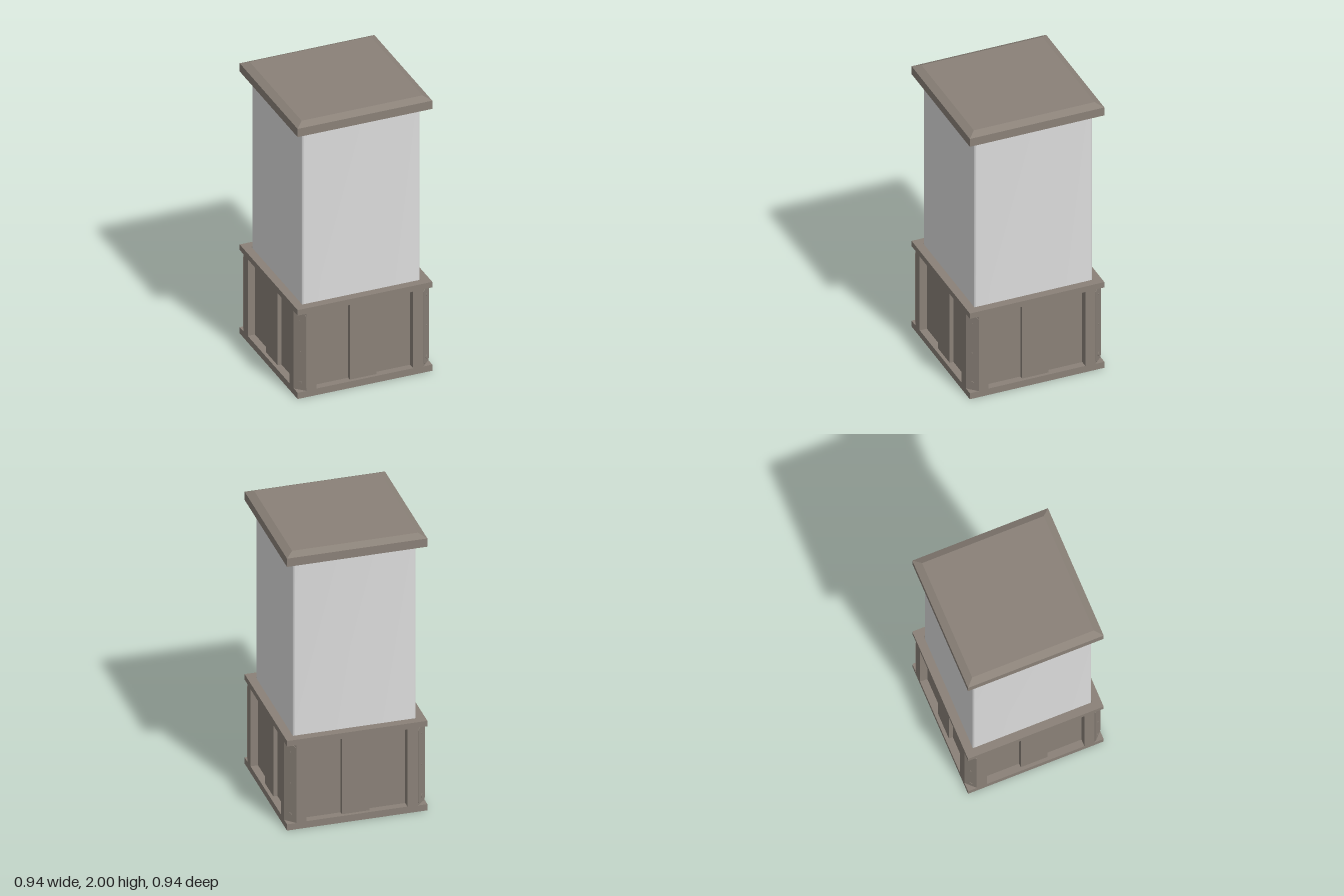
import * as THREE from 'three';
import { toCreasedNormals } from 'three/addons/utils/BufferGeometryUtils.js';

const HALF = 0.468, POST = 0.405, RIM_LOW = 0.045, RIM_HIGH = 0.61, BASE_TOP = 0.65;
const COLUMN = 0.41, CAP_LOW = 1.915, CAP_EDGE = 1.975, CAP_TOP = 2, CAP_FLAT = 0.42;

const polygon = (pts) => new THREE.Shape(pts.map(([x, y]) => new THREE.Vector2(x, y)));
const rect = (x0, y0, x1, y1) => [[x0, y0], [x1, y0], [x1, y1], [x0, y1]];
const square = (h) => rect(-h, -h, h, h);

// Vertical sheet that follows a plan outline of [x, z] points
function sheet(plan, y0, y1) {
  const pos = [];
  for (let i = 0; i < plan.length - 1; i++) {
    const [ax, az] = plan[i], [bx, bz] = plan[i + 1];
    pos.push(ax, y0, az, bx, y0, bz, bx, y1, bz, ax, y0, az, bx, y1, bz, ax, y1, az);
  }
  const geo = new THREE.BufferGeometry();
  geo.setAttribute('position', new THREE.Float32BufferAttribute(pos, 3));
  geo.computeVertexNormals();
  return geo;
}

// Horizontal plate from a plan outline of [x, z] points, facing up
function plate(plan, y, hole) {
  const shape = polygon(plan.map(([x, z]) => [x, -z]));
  if (hole) shape.holes.push(polygon(hole));
  return new THREE.ShapeGeometry(shape).rotateX(-Math.PI / 2).translate(0, y, 0);
}

export function createModel() {
  const brown = new THREE.MeshStandardMaterial({ color: 0x8a8178, side: THREE.DoubleSide });
  brown.name = 'weathered brown';
  const white = new THREE.MeshStandardMaterial({ color: 0xdcdcdc, side: THREE.DoubleSide });
  white.name = 'pale grey';

  const model = new THREE.Group();
  model.name = 'pillar';
  const add = (parent, name, geo, mat = brown) => {
    const mesh = new THREE.Mesh(geo, mat);
    mesh.name = name;
    parent.add(mesh);
    return mesh;
  };

  // Face of one base side: rims run to the corners, posts stop short
  const frame = polygon([
    [-HALF, 0], [HALF, 0], [HALF, RIM_LOW], [POST, RIM_LOW], [POST, RIM_HIGH], [HALF, RIM_HIGH],
    [HALF, BASE_TOP], [-HALF, BASE_TOP], [-HALF, RIM_HIGH], [-POST, RIM_HIGH], [-POST, RIM_LOW], [-HALF, RIM_LOW],
  ]);
  const p0 = 0.048, p1 = 0.608;
  frame.holes.push(polygon(rect(-0.337, p0, 0.335, p1)));
  const frameGeo = new THREE.ShapeGeometry(frame).translate(0, 0, HALF);

  // Sunken panel with a raised middle board
  const deep = HALF - 0.05, mid = HALF - 0.023;
  const recess = [[-0.337, HALF], [-0.337, deep], [-0.095, deep], [-0.095, mid],
    [0.09, mid], [0.09, deep], [0.335, deep], [0.335, HALF]];

  // Corner plate with clipped ends, lying on the chamfer
  const w = 0.042, h0 = 0.055, h1 = 0.602, c = 0.012;
  const clipped = polygon([[-w + c, h0], [w - c, h0], [w, h0 + c], [w, h1 - c],
    [w - c, h1], [-w + c, h1], [-w, h1 - c], [-w, h0 + c]]);
  const cornerGeo = new THREE.ExtrudeGeometry(clipped, { depth: 0.004, bevelEnabled: false });
  const chamferDist = (HALF + POST) / Math.SQRT2;

  for (let i = 0; i < 4; i++) {
    const side = new THREE.Group();
    side.name = 'baseSide' + (i + 1);
    side.rotation.y = i * Math.PI / 2;
    model.add(side);
    add(side, 'panelFrame', frameGeo);
    add(side, 'panelBoards', sheet(recess, p0, p1));
    add(side, 'panelSill', plate(recess, p0));
    add(side, 'panelHead', plate(recess, p1));

    // Chamfered corner between the rims
    add(side, 'cornerFace', sheet([[POST, HALF], [HALF, POST]], RIM_LOW, RIM_HIGH));
    const tip = [[POST, HALF], [HALF, HALF], [HALF, POST]];
    add(side, 'lowerRimCorner', plate(tip, RIM_LOW));
    add(side, 'upperRimCorner', plate(tip, RIM_HIGH));

    // Corner plate and its bolts
    const corner = new THREE.Group();
    corner.name = 'cornerFitting';
    corner.rotation.y = Math.PI / 4;
    side.add(corner);
    add(corner, 'cornerPlate', cornerGeo).position.z = chamferDist;
    for (const [y, r] of [[0.55, 0.006], [0.325, 0.006], [0.097, 0.014]]) {
      const bolt = add(corner, 'bolt', new THREE.CylinderGeometry(r, r, 0.005, 10).rotateX(Math.PI / 2));
      bolt.position.set(0, y, chamferDist + 0.005);
    }
  }

  // Ledge around the foot of the column
  add(model, 'baseLedge', plate(square(HALF), BASE_TOP, square(COLUMN + 0.002)));

  // Column with small rounded corners
  const r = 0.014, plan = [];
  for (let q = 0; q < 4; q++) {
    for (let s = 0; s <= 4; s++) {
      const a = (q + s / 4) * Math.PI / 2;
      const sx = q === 0 || q === 3 ? 1 : -1, sz = q < 2 ? 1 : -1;
      plan.push([sx * (COLUMN - r) + r * Math.cos(a), sz * (COLUMN - r) + r * Math.sin(a)]);
    }
  }
  plan.push(plan[0]);
  plan.reverse();
  add(model, 'column', toCreasedNormals(sheet(plan, 0.635, CAP_LOW + 0.02), 0.6), white);

  // Cap: straight edge, sloped bevel, flat top and underside
  const k = Math.SQRT2;
  const capEdge = new THREE.CylinderGeometry(HALF * k, HALF * k, CAP_EDGE - CAP_LOW, 4, 1, true);
  const capBevel = new THREE.CylinderGeometry(CAP_FLAT * k, HALF * k, CAP_TOP - CAP_EDGE, 4, 1, true);
  const turned = (geo, y) => toCreasedNormals(geo.rotateY(Math.PI / 4).translate(0, y, 0), 0.3);
  add(model, 'capEdge', turned(capEdge, (CAP_LOW + CAP_EDGE) / 2));
  add(model, 'capBevel', turned(capBevel, (CAP_EDGE + CAP_TOP) / 2));
  add(model, 'capTop', plate(square(CAP_FLAT), CAP_TOP));
  add(model, 'capUnderside', plate(square(HALF), CAP_LOW, square(COLUMN - 0.002)));

  return model;
}
